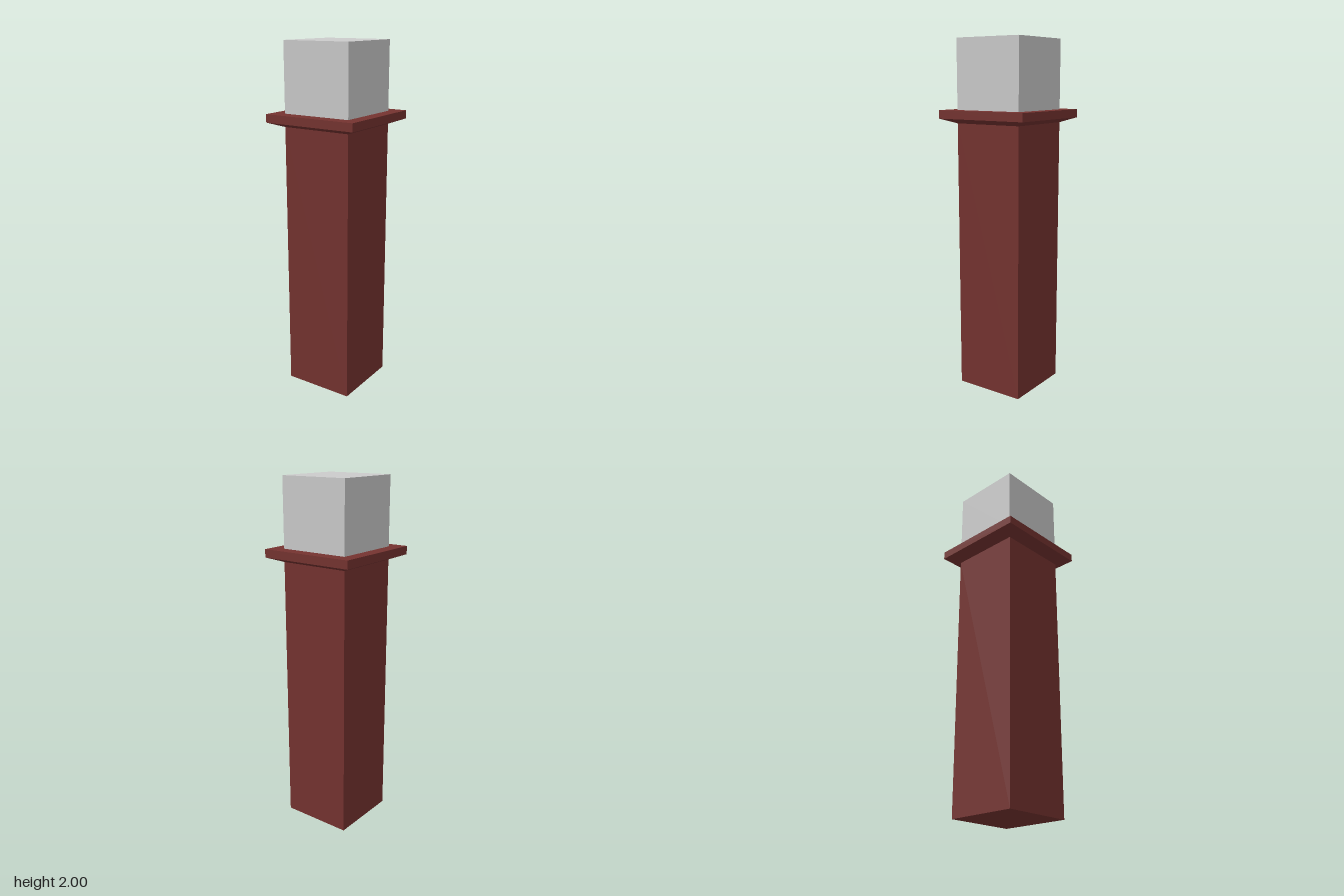
import * as THREE from 'three';

const HALF = 0.205; // half width of the post
const RIM = 0.278; // half width of the collar

// Square solid from a bottom-to-top profile of [half width, height]
function squareLathe(name, profile, color) {
  const points = profile.map(([w, y]) => new THREE.Vector2(w * Math.SQRT2, y));
  const geometry = new THREE.LatheGeometry(points, 4, Math.PI / 4);
  const material = new THREE.MeshStandardMaterial({ color, flatShading: true });
  const mesh = new THREE.Mesh(geometry, material);
  mesh.name = name;
  return mesh;
}

export function createModel() {
  const group = new THREE.Group();
  group.name = 'post';
  const red = 0x753330;

  // Tall square shaft with a closed base
  group.add(squareLathe('shaft', [[0, 0], [HALF, 0], [HALF, 1.54]], red));

  // Collar: sloped underside, upright rim, flat ledge
  group.add(squareLathe('collar', [[HALF, 1.54], [RIM, 1.567], [RIM, 1.613], [HALF, 1.613]], red));

  // Grey block on top
  group.add(squareLathe('topBlock', [[HALF, 1.613], [HALF, 2], [0, 2]], 0xcccccc));

  return group;
}
